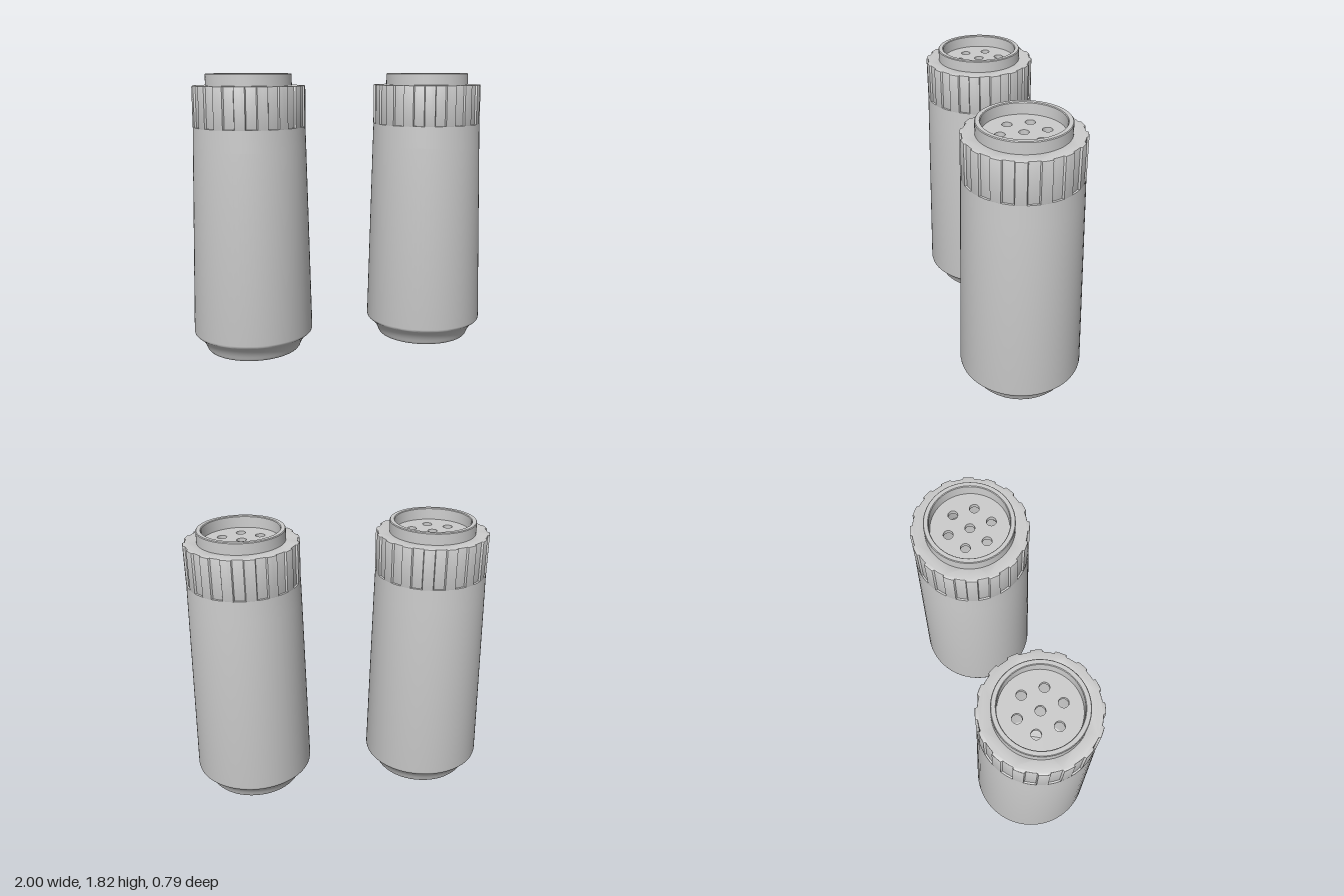
import * as THREE from 'three';
import { toCreasedNormals } from 'three/addons/utils/BufferGeometryUtils.js';

const material = new THREE.MeshStandardMaterial({ color: 0xcccccc, side: THREE.DoubleSide });

function addMesh(group, name, geometry, crease = 0.6) {
  const mesh = new THREE.Mesh(toCreasedNormals(geometry, crease), material);
  mesh.name = name;
  group.add(mesh);
  return mesh;
}

const lathe = (points) =>
  new THREE.LatheGeometry(points.map(([r, y]) => new THREE.Vector2(r, y)), 72);

function circlePath(x, y, r) {
  return new THREE.Path().absarc(x, y, r, 0, Math.PI * 2, true);
}

// Extrude a flat outline upwards from height y
function extrudeUp(shape, y, options) {
  return new THREE.ExtrudeGeometry(shape, options).rotateX(-Math.PI / 2).translate(0, y, 0);
}

// Tapered body with a flared foot and a domed hollow underneath
function bodyGeometry() {
  const points = [];
  const domeRadius = 0.265, domeHeight = 0.1;
  for (let i = 0; i <= 8; i++) {
    const t = i / 8;
    points.push([domeRadius * t, 0.01 + domeHeight * (1 - t * t)]);
  }
  points.push([0.275, 0], [0.305, 0], [0.312, 0.008]);
  const flare = new THREE.QuadraticBezierCurve(
    new THREE.Vector2(0.315, 0.015), new THREE.Vector2(0.335, 0.075), new THREE.Vector2(0.388, 0.113));
  flare.getPoints(8).forEach((p) => points.push([p.x, p.y]));
  points.push([0.393, 0.119], [0.395, 0.13], [0.364, 1.34], [0.36, 1.48], [0.33, 1.485]);
  return lathe(points);
}

// Ring with alternating grip ridges and grooves
function gripGeometry() {
  const ridges = 16, outer = 0.361, inner = 0.349, steps = 4;
  const pitch = (Math.PI * 2) / ridges;
  const outline = [];
  for (let i = 0; i < ridges; i++) {
    [outer, inner].forEach((r, half) => {
      for (let s = 0; s <= steps; s++) {
        const a = pitch * (i + half * 0.5 + (0.5 * s) / steps + (s === 0 ? 0.02 : s === steps ? -0.02 : 0));
        outline.push(new THREE.Vector2(r * Math.cos(a), r * Math.sin(a)));
      }
    });
  }
  const shape = new THREE.Shape(outline);
  shape.holes.push(circlePath(0, 0, 0.25));
  return extrudeUp(shape, 1.482, { depth: 0.25, bevelEnabled: true, bevelThickness: 0.008, bevelSize: 0.006, bevelOffset: -0.006, bevelSegments: 2, curveSegments: 48 });
}

// Perforated disc: one centre hole and six around it
function sieveGeometry() {
  const shape = new THREE.Shape().absarc(0, 0, 0.25, 0, Math.PI * 2, false);
  shape.holes.push(circlePath(0, 0, 0.03));
  for (let i = 0; i < 6; i++) {
    const a = Math.PI / 6 + (i * Math.PI) / 3;
    shape.holes.push(circlePath(0.137 * Math.cos(a), 0.137 * Math.sin(a), 0.03));
  }
  return extrudeUp(shape, 1.71, { depth: 0.03, bevelEnabled: false, curveSegments: 24 });
}

function createShaker(name) {
  const shaker = new THREE.Group();
  shaker.name = name;
  addMesh(shaker, 'body', bodyGeometry());
  addMesh(shaker, 'capGrip', gripGeometry());
  addMesh(shaker, 'capCollar', lathe([
    [0.275, 1.72], [0.275, 1.81], [0.271, 1.815], [0.247, 1.815], [0.243, 1.81], [0.24, 1.72],
  ]));
  addMesh(shaker, 'sieve', sieveGeometry());
  return shaker;
}

export function createModel() {
  const model = new THREE.Group();
  model.name = 'shakerPair';
  for (const side of [-1, 1]) {
    const shaker = createShaker(side > 0 ? 'leftShaker' : 'rightShaker');
    shaker.position.x = side * 0.605;
    model.add(shaker);
  }
  return model;
}
